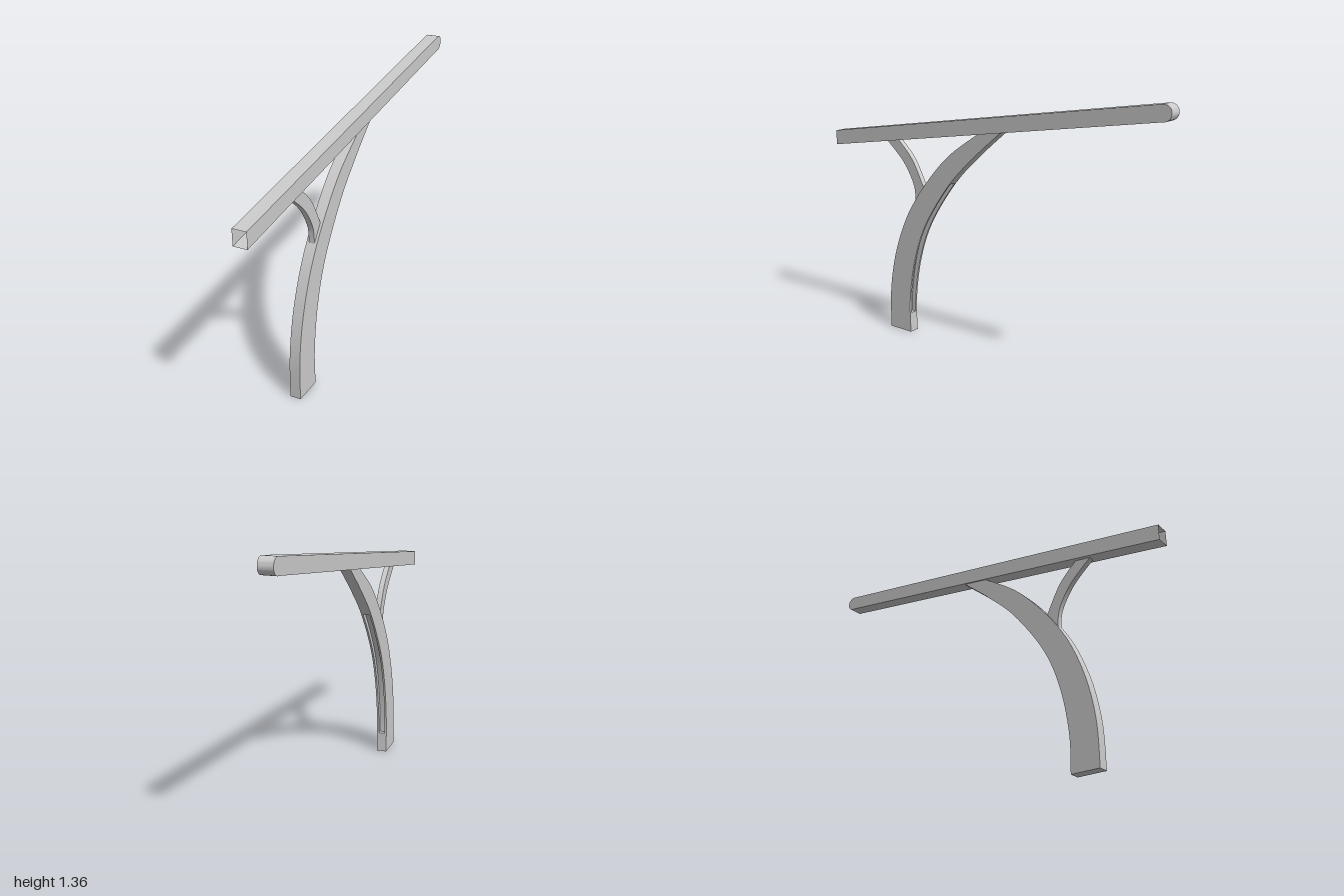
import * as THREE from 'three';
import { toCreasedNormals } from 'three/addons/utils/BufferGeometryUtils.js';

const V = (z, y) => new THREE.Vector2(z, y);
const curve = (pts, n = 28) => new THREE.SplineCurve(pts.map(p => V(...p))).getPoints(n);

// Extrudes a side profile given in (z, y) between x0 and x1
function slab(points, x0, x1) {
  const geo = new THREE.ExtrudeGeometry(new THREE.Shape(points), { depth: x1 - x0, bevelEnabled: false });
  geo.rotateY(-Math.PI / 2);
  geo.translate(x1, 0, 0);
  return toCreasedNormals(geo, 0.5);
}

// Removes the triangles lying in the plane z = limit, leaving that end open
function openFront(geo, limit) {
  const p = geo.attributes.position, n = geo.attributes.normal;
  const pos = [], nor = [];
  for (let i = 0; i < p.count; i += 3) {
    if ([0, 1, 2].every(k => p.getZ(i + k) > limit)) continue;
    for (let k = i; k < i + 3; k++) {
      pos.push(p.getX(k), p.getY(k), p.getZ(k));
      nor.push(n.getX(k), n.getY(k), n.getZ(k));
    }
  }
  const out = new THREE.BufferGeometry();
  out.setAttribute('position', new THREE.Float32BufferAttribute(pos, 3));
  out.setAttribute('normal', new THREE.Float32BufferAttribute(nor, 3));
  return out;
}

export function createModel() {
  const model = new THREE.Group();
  const mat = new THREE.MeshStandardMaterial({ color: 0xcccccc, side: THREE.DoubleSide });
  const add = (name, geo, parent = model) => {
    const mesh = new THREE.Mesh(geo, mat);
    mesh.name = name;
    parent.add(mesh);
  };

  // Sloping hollow beam: open at the front, rounded at the back
  const beam = new THREE.Shape();
  beam.moveTo(1, 0.98);
  beam.lineTo(-0.955, 1.284);
  beam.bezierCurveTo(-0.985, 1.284, -1, 1.302, -1, 1.322);
  beam.bezierCurveTo(-1, 1.345, -0.985, 1.36, -0.96, 1.36);
  beam.lineTo(1, 1.058);
  add('beam', openFront(slab(beam.getPoints(8), -0.034, 0.034), 0.999));

  // Curved post: two cheeks and a core with a groove along its rear face
  const post = new THREE.Group();
  post.name = 'post';
  model.add(post);
  const front = curve([[0.627, 0], [0.622, 0.21], [0.585, 0.41], [0.517, 0.595], [0.437, 0.735],
    [0.33, 0.873], [0.195, 1.01], [0.013, 1.135]]);
  const rear = curve([[0.48, 0], [0.48, 0.19], [0.44, 0.42], [0.356, 0.632], [0.195, 0.862],
    [0.035, 1.02], [-0.126, 1.157]], 48).reverse();
  const cheek = [...front, ...rear];
  add('leftCheek', slab(cheek, 0.017, 0.027), post);
  add('rightCheek', slab(cheek, -0.027, -0.017), post);

  const inGroove = p => p.y > 0.09 && p.y < 0.88;
  const grooved = [];
  rear.forEach((p, i) => {
    const a = rear[Math.max(i - 1, 0)], b = rear[Math.min(i + 1, rear.length - 1)];
    const t = b.clone().sub(a).normalize();
    const inset = V(p.x - t.y * 0.025, p.y + t.x * 0.025);
    const inside = inGroove(p);
    if (inside && !inGroove(a)) grooved.push(p);
    grooved.push(inside ? inset : p);
    if (inside && !inGroove(b)) grooved.push(p);
  });
  add('core', slab([...front, ...grooved], -0.017, 0.017), post);

  // Slim curved brace between post and beam
  const braceFront = curve([[0.437, 0.715], [0.447, 0.82], [0.517, 0.937], [0.63, 1.039]], 16);
  const braceRear = curve([[0.55, 1.052], [0.453, 0.953], [0.372, 0.803]], 16);
  add('brace', slab([...braceRear, ...braceFront], -0.014, 0.014));

  return model;
}
